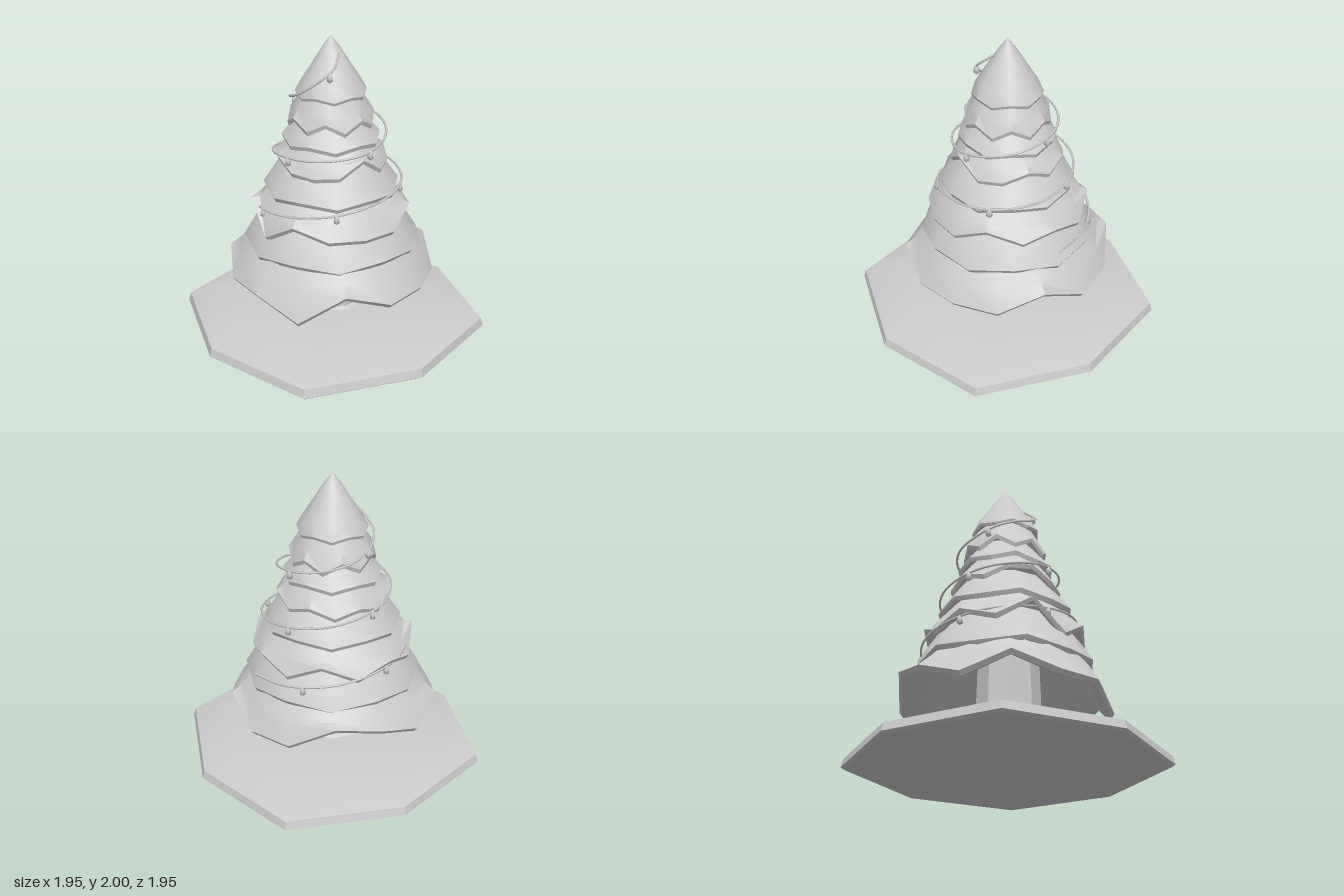
import * as THREE from 'three';
import { toCreasedNormals } from 'three/addons/utils/BufferGeometryUtils.js';

const { degToRad, lerp } = THREE.MathUtils;
const polar = (deg, r, y) => new THREE.Vector3(Math.sin(degToRad(deg)) * r, y, Math.cos(degToRad(deg)) * r);

// Skins a stack of rings of points, listed from the top of the outside round to the inside.
function loft(rings) {
  const n = rings[0].length, index = [];
  for (let i = 0; i < rings.length - 1; i++) {
    for (let j = 0; j < n; j++) {
      const k = (j + 1) % n;
      const a = i * n + j, b = a + n, c = (i + 1) * n + k, d = i * n + k;
      index.push(a, b, c, a, c, d);
    }
  }
  const g = new THREE.BufferGeometry().setFromPoints(rings.flat());
  g.setIndex(index);
  return toCreasedNormals(g, 0.6);
}

// Hem heights that alternate between low tips and notches.
const zigzag = (low, high, tips) => Array.from({ length: tips * 2 }, (_, i) => (i % 2 ? high : low));

// A ring following the evenly spaced hem heights, starting at the given angle from the front.
const hemRing = (hem, phase, r, height) =>
  hem.map((y, i) => polar(phase + i * 360 / hem.length, r, height(y)));

// One layer of boughs: a hollow, bulging skirt with a thick hem.
function skirt({ top, neck, radius, phase, hem }) {
  const mean = hem.reduce((sum, y) => sum + y, 0) / hem.length;
  const ring = (r, height) => hemRing(hem, phase, r, height);
  return loft([
    ring(neck, () => top),
    ring(lerp(neck, radius, 0.7), y => lerp(top, (y + mean) / 2, 0.58)),
    ring(radius, y => y + 0.028),
    ring(radius * 0.97, y => y),
    ring(radius * 0.92, y => y + 0.01),
    ring(neck * 0.8, () => top - 0.05),
  ]);
}

// Layers from the ground up, alternating deep and shallow hems.
const layers = [
  { top: 0.72, neck: 0.47, radius: 0.69, phase: 37,
    hem: [0.28, 0.48, 0.37, 0.375, 0.36, 0.49, 0.36, 0.37, 0.53, 0.47, 0.36, 0.48, 0.385, 0.4] },
  { top: 0.92, neck: 0.4, radius: 0.58, phase: 0, hem: zigzag(0.59, 0.625, 6) },
  { top: 1.05, neck: 0.35, radius: 0.53, phase: 2,
    hem: [0.72, 0.86, 0.785, 0.78, 0.775, 0.88, 0.79, 0.84, 0.77, 0.88, 0.78, 0.85, 0.78, 0.91] },
  { top: 1.23, neck: 0.29, radius: 0.445, phase: 0, hem: zigzag(0.97, 1.0, 6) },
  { top: 1.37, neck: 0.24, radius: 0.37, phase: 12,
    hem: [1.15, 1.14, 1.15, 1.25, 1.14, 1.15, 1.21, 1.15, 1.2, 1.14, 1.19, 1.14, 1.21, 1.22] },
  { top: 1.5, neck: 0.2, radius: 0.32, phase: 0, hem: zigzag(1.3, 1.33, 6) },
  { top: 1.68, neck: 0.17, radius: 0.28, phase: 22, hem: zigzag(1.41, 1.475, 7) },
];

// Garland height at each quarter turn, starting on the left and winding down.
const garlandHeights = [1.91, 1.66, 1.51, 1.42, 1.31, 1.27, 1.18, 1.08, 1.0, 0.91, 0.82, 0.72];

// The garland follows the tree's cone and hangs a little loose at the back.
function garlandCurve() {
  const points = [];
  const steps = 3;
  for (let i = 0; i <= (garlandHeights.length - 1) * steps; i++) {
    const q = Math.floor(i / steps);
    const next = garlandHeights[Math.min(q + 1, garlandHeights.length - 1)];
    const y = lerp(garlandHeights[q], next, i / steps - q);
    const deg = 90 - i * 90 / steps;
    const slack = 0.03 * Math.max(0, -Math.cos(degToRad(deg)));
    const r = Math.min((2 - y) * 1.05, 0.25 + (1.64 - y) * 0.32) + slack;
    points.push(polar(deg, r, y));
  }
  return new THREE.CatmullRomCurve3(points);
}

export function createModel() {
  const model = new THREE.Group();
  const grey = new THREE.MeshStandardMaterial({ color: 0xcccccc });
  grey.name = 'light grey';
  const add = (name, geometry, parent = model) => {
    const mesh = new THREE.Mesh(geometry, grey);
    mesh.name = name;
    parent.add(mesh);
    return mesh;
  };
  const addGroup = name => {
    const group = new THREE.Group();
    group.name = name;
    model.add(group);
    return group;
  };

  // Low octagonal mound of ground
  const octagon = (scale, y) =>
    Array.from({ length: 8 }, (_, i) => polar(i * 45, scale * (i % 2 ? 1.04 : 0.975), y));
  add('base', loft([octagon(0, 0.17), octagon(0.4, 0.16), octagon(0.74, 0.137),
    octagon(0.985, 0.07), octagon(1, 0.015), octagon(0.98, 0), octagon(0, 0)]));

  // Trunk with a flared foot
  const trunkProfile = [[0.27, 0.14], [0.215, 0.18], [0.21, 0.4], [0.2, 0.75]].map(p => new THREE.Vector2(...p));
  add('trunk', toCreasedNormals(new THREE.LatheGeometry(trunkProfile, 9), 0.5)).position.z = 0.01;

  // Skirts of boughs
  const boughs = addGroup('boughs');
  boughs.position.x = -0.02;
  layers.forEach((layer, i) => add(`boughLayer${i + 1}`, skirt(layer), boughs));

  // Pointed crown with a scalloped hem
  const crownHem = zigzag(1.605, 1.63, 6);
  const crownRing = (r, height) => hemRing(crownHem, 0, r, height);
  add('crown', loft([
    crownRing(0, () => 2), crownRing(0.055, () => 1.93), crownRing(0.125, () => 1.82),
    crownRing(0.19, () => 1.72), crownRing(0.23, y => y + 0.02), crownRing(0.222, y => y),
    crownRing(0.2, y => y + 0.01), crownRing(0, () => 1.68),
  ]), boughs);

  // Garland cord
  const garland = addGroup('garland');
  garland.position.x = -0.02;
  const curve = garlandCurve();
  add('garlandCord', new THREE.TubeGeometry(curve, 160, 0.008, 5), garland);

  // Small drops hanging from the garland
  const dropProfile = [[0, -0.06], [0.02, -0.045], [0.018, -0.02], [0.008, 0.005], [0, 0.01]];
  const drop = new THREE.LatheGeometry(dropProfile.map(p => new THREE.Vector2(...p)), 6);
  for (let i = 0; i < 12; i++) {
    add('garlandDrop', drop, garland).position.copy(curve.getPointAt((i + 0.3) / 12));
  }
  return model;
}
